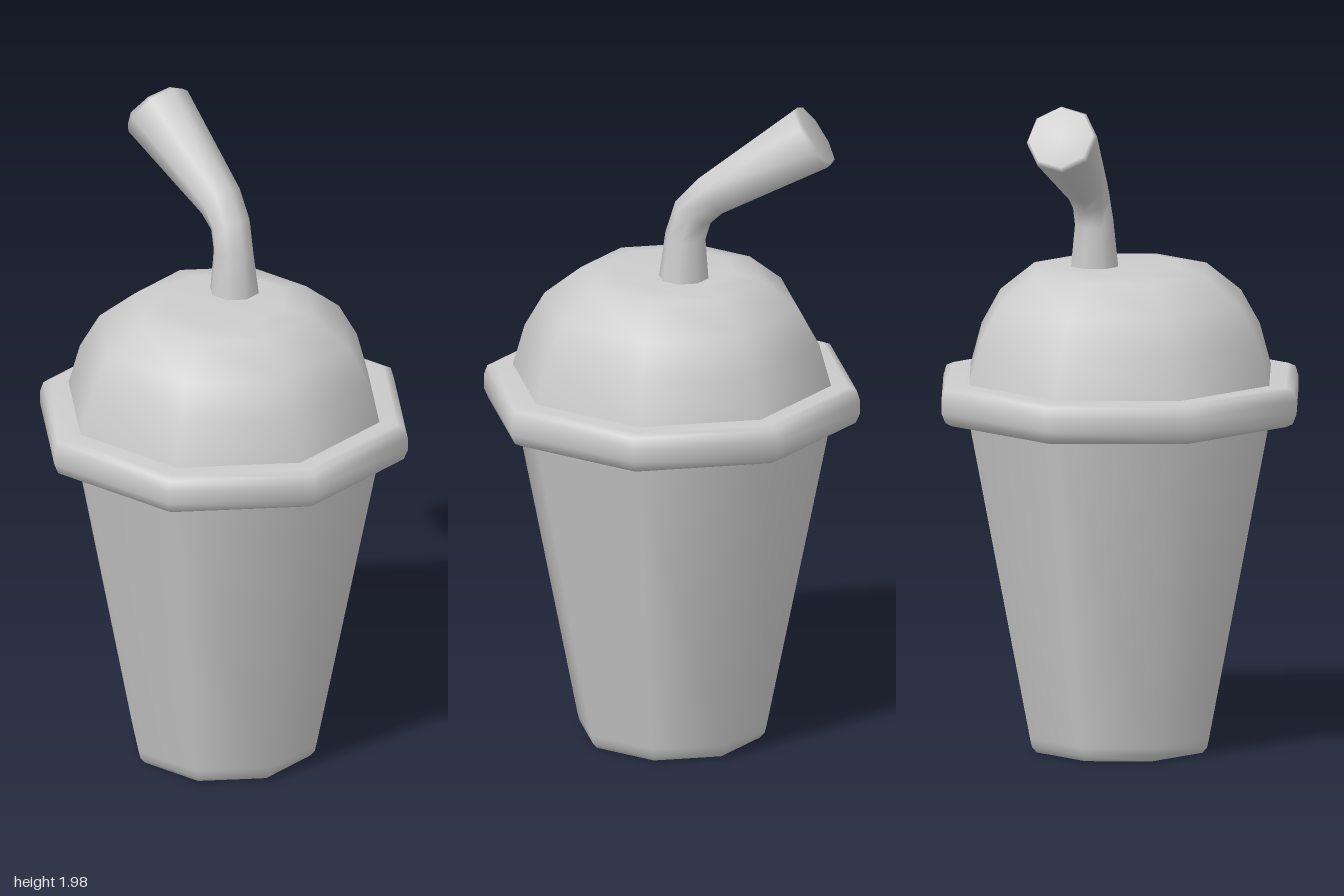
import * as THREE from 'three';

const SIDES = 8;
const material = new THREE.MeshStandardMaterial({ color: 0xcccccc, side: THREE.DoubleSide });

// Eight-sided turned part from [radius, height] points, listed bottom to top
function turned(name, profile) {
  const points = profile.map(([r, y]) => new THREE.Vector2(r, y));
  const mesh = new THREE.Mesh(new THREE.LatheGeometry(points, SIDES), material);
  mesh.name = name;
  return mesh;
}

// Bent tube through rings [x, y, z, radius], closed with an end cap
function bentTube(name, rings) {
  const centres = rings.map(([x, y, z]) => new THREE.Vector3(x, y, z));
  const positions = [];
  const index = [];
  rings.forEach((ring, i) => {
    const before = centres[Math.max(i - 1, 0)];
    const after = centres[Math.min(i + 1, rings.length - 1)];
    const n = i === 0 ? new THREE.Vector3(0, 1, 0) : after.clone().sub(before).normalize();
    const u = new THREE.Vector3(1, 0, 0).projectOnPlane(n).normalize();
    const v = n.clone().cross(u);
    for (let j = 0; j < SIDES; j++) {
      const a = (j / SIDES) * Math.PI * 2;
      const p = centres[i].clone()
        .addScaledVector(u, Math.cos(a) * ring[3])
        .addScaledVector(v, Math.sin(a) * ring[3]);
      positions.push(p.x, p.y, p.z);
      if (i > 0) {
        const k = (j + 1) % SIDES;
        const lo = (i - 1) * SIDES, hi = i * SIDES;
        index.push(lo + j, lo + k, hi + k, lo + j, hi + k, hi + j);
      }
    }
  });
  // end cap fan
  const last = (rings.length - 1) * SIDES;
  const tip = centres[centres.length - 1];
  positions.push(tip.x, tip.y, tip.z);
  for (let j = 0; j < SIDES; j++) index.push(last + SIDES, last + j, last + (j + 1) % SIDES);

  const geometry = new THREE.BufferGeometry();
  geometry.setAttribute('position', new THREE.Float32BufferAttribute(positions, 3));
  geometry.setIndex(index);
  geometry.computeVertexNormals();
  const mesh = new THREE.Mesh(geometry, material);
  mesh.name = name;
  return mesh;
}

export function createModel() {
  const model = new THREE.Group();
  model.name = 'drinkCup';

  // tapered cup with a small bevel round the base
  model.add(turned('cup', [
    [0, 0], [0.25, 0], [0.265, 0.003], [0.28, 0.02], [0.286, 0.045], [0.48, 1.01],
  ]));

  // thick rounded lip
  model.add(turned('rim', [
    [0.46, 1], [0.535, 1], [0.555, 1.01], [0.568, 1.04],
    [0.568, 1.08], [0.558, 1.11], [0.535, 1.12], [0.46, 1.12],
  ]));

  // domed lid with a flattened top
  model.add(turned('domeLid', [
    [0.483, 1.11], [0.445, 1.245], [0.385, 1.35], [0.275, 1.438], [0.19, 1.452], [0, 1.452],
  ]));

  // bent straw that widens towards its tip
  model.add(bentTube('straw', [
    [0.01, 1.42, -0.077, 0.078],
    [0.005, 1.58, -0.08, 0.061],
    [-0.01, 1.655, -0.097, 0.061],
    [-0.05, 1.71, -0.132, 0.067],
    [-0.296, 1.894, -0.303, 0.106],
    [-0.307, 1.903, -0.311, 0.097],
  ]));

  return model;
}
